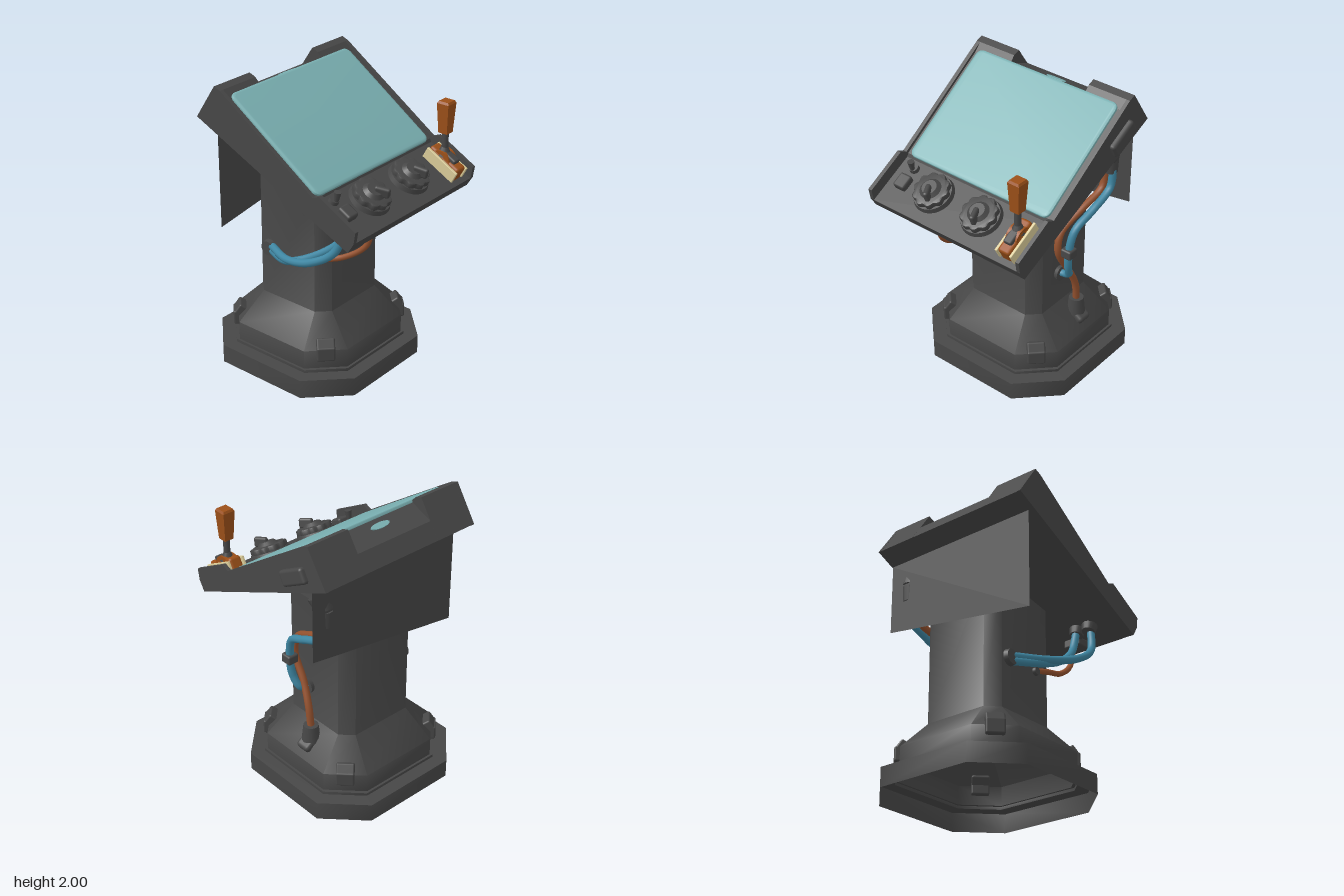
import * as THREE from 'three';
import { toCreasedNormals } from 'three/addons/utils/BufferGeometryUtils.js';
import { RoundedBoxGeometry } from 'three/addons/geometries/RoundedBoxGeometry.js';

const mat = (name, color, side = THREE.FrontSide) => {
  const m = new THREE.MeshStandardMaterial({ color, side });
  m.name = name;
  return m;
};

export function createModel() {
  const root = new THREE.Group();
  const dark = mat('dark grey casing', 0x474747, THREE.DoubleSide);
  const teal = mat('teal glass', 0x7ab0b2);
  const blue = mat('blue cable', 0x3f87a3);
  const orange = mat('orange plastic', 0x9c5019);
  const rust = mat('rust cable', 0x95522f);
  const cream = mat('cream rail', 0xd9cb98);

  const add = (name, geo, m, pos = [0, 0, 0], rot = [0, 0, 0], parent = root) => {
    const mesh = new THREE.Mesh(geo, m);
    mesh.name = name;
    mesh.position.set(...pos);
    mesh.rotation.set(...rot);
    parent.add(mesh);
    return mesh;
  };
  const rbox = (w, h, d, r = 0.012) => new RoundedBoxGeometry(w, h, d, 2, r);
  const cyl = (a, b, h, n = 20) => new THREE.CylinderGeometry(a, b, h, n);
  // side profile in x/y, extruded between two z values
  const slab = (name, pts, z0, z1) => {
    const shape = new THREE.Shape(pts.map(p => new THREE.Vector2(...p)));
    const geo = new THREE.ExtrudeGeometry(shape, { depth: z1 - z0, bevelEnabled: false });
    return add(name, geo, dark, [0, 0, z0]);
  };
  const cable = (name, pts, r, m) => {
    const curve = new THREE.CatmullRomCurve3(pts.map(p => new THREE.Vector3(...p)));
    return add(name, new THREE.TubeGeometry(curve, 48, r, 10), m);
  };

  // Pedestal: chamfered-square rings [y, half width, chamfer], open below
  const CX = -0.115, CZ = -0.01;
  const rings = [[0, 0.59, 0.25], [0.13, 0.59, 0.25], [0.13, 0.5, 0.2], [0.15, 0.5, 0.2],
    [0.15, 0.485, 0.2], [0.28, 0.485, 0.2], [0.47, 0.303, 0.08], [1.38, 0.303, 0.08]];
  const pos = [], idx = [];
  rings.forEach(([y, h, c], k) => {
    const f = h - c;
    [[h, -f], [h, f], [f, h], [-f, h], [-h, f], [-h, -f], [-f, -h], [f, -h]].forEach(([x, z]) => {
      let top = y;
      if (k === rings.length - 1) { // sloping top rim
        if (z > 0) top -= 0.1 * (x + h) / (2 * h);
        else if (x === h) top -= 0.1;
      }
      pos.push(x + CX, top, z + CZ);
    });
  });
  for (let k = 0; k < rings.length - 1; k++) for (let i = 0; i < 8; i++) {
    const a = k * 8 + i, b = k * 8 + (i + 1) % 8;
    idx.push(a, a + 8, b, b, a + 8, b + 8);
  }
  const last = (rings.length - 1) * 8;
  pos.push(CX, 1.36, CZ);
  for (let i = 0; i < 8; i++) idx.push(last + 8, last + (i + 1) % 8, last + i);
  const ped = new THREE.BufferGeometry();
  ped.setAttribute('position', new THREE.Float32BufferAttribute(pos, 3));
  ped.setIndex(idx);
  add('pedestal', toCreasedNormals(ped, 0.88), dark);

  // Lugs on the four corners of the foot
  for (const sx of [-1, 1]) for (const sz of [-1, 1]) {
    const lug = new THREE.Group();
    lug.name = 'footLug';
    lug.position.set(CX + sx * 0.385, 0.28, CZ + sz * 0.385);
    lug.rotation.y = Math.atan2(sx, sz);
    add('lugLower', rbox(0.12, 0.1, 0.07), dark, [0, -0.015, 0.0], [0, 0, 0], lug);
    add('lugUpper', rbox(0.12, 0.09, 0.07), dark, [0, 0.03, -0.015], [-0.6, 0, 0], lug);
    root.add(lug);
  }

  // Rear support plate
  const plate = new THREE.Shape([[-0.58, 1.025], [0.59, 1.205], [0.59, 1.7], [-0.58, 1.7]]
    .map(p => new THREE.Vector2(...p)));
  add('rearPlate', new THREE.ShapeGeometry(plate), dark, [-0.424, 0, 0], [0, Math.PI / 2, 0]);

  // Console: recessed middle, two raised rear shoulders, thin side walls
  slab('consoleBody', [[-0.555, 1.765], [0.644, 1.22], [0.686, 1.288], [0.37, 1.455],
    [0.36, 1.478], [-0.32, 1.94], [-0.485, 1.872]], -0.58, 0.6);
  const shoulder = [[-0.556, 1.765], [-0.3, 1.66], [-0.3, 1.927], [-0.352, 1.982], [-0.4, 2]];
  slab('shoulderFront', shoulder, 0.305, 0.61);
  slab('shoulderBack', shoulder, -0.59, -0.29);
  const wall = [[-0.558, 1.765], [0.644, 1.219], [0.687, 1.288], [0.7, 1.367], [0.427, 1.516],
    [0.374, 1.494], [-0.352, 1.982], [-0.4, 2]];
  slab('sideWallFront', wall, 0.592, 0.62);
  slab('sideWallBack', wall, -0.6, -0.574);
  add('sideHatch', rbox(0.23, 0.105, 0.06, 0.02), dark, [-0.285, 1.755, -0.603], [0, 0, -0.5]);

  // Rounded glass screen lying on the slope
  const w = 0.4, h = 0.54, r = 0.03;
  const glass = new THREE.Shape();
  glass.moveTo(-w + r, -h);
  glass.lineTo(w - r, -h).quadraticCurveTo(w, -h, w, -h + r);
  glass.lineTo(w, h - r).quadraticCurveTo(w, h, w - r, h);
  glass.lineTo(-w + r, h).quadraticCurveTo(-w, h, -w, h - r);
  glass.lineTo(-w, -h + r).quadraticCurveTo(-w, -h, -w + r, -h);
  const slope = new THREE.Group();
  slope.name = 'screenMount';
  slope.position.set(0.02, 1.708, 0.012);
  slope.rotation.z = -0.597;
  root.add(slope);
  const screen = new THREE.ExtrudeGeometry(glass, { depth: 0.008, bevelSize: 0.02, bevelThickness: 0.012, bevelSegments: 3, curveSegments: 6 });
  add('screen', toCreasedNormals(screen, 0.6), teal, [0, 0, 0], [-Math.PI / 2, 0, 0], slope);
  const spot = add('glassGlint', cyl(1, 1, 0.008, 24), teal, [-0.38, 1.917, 0.02 - 0.035], [0, 0, 0.392]);
  spot.scale.set(0.022, 1, 0.075);

  // Control panel: local x runs down the slope, local y is outward
  const panel = new THREE.Group();
  panel.name = 'controlPanel';
  panel.position.set(0.52, 1.374, 0);
  panel.rotation.z = -0.494;
  root.add(panel);

  const flutes = new THREE.Shape();
  for (let i = 0; i <= 96; i++) {
    const a = i / 96 * Math.PI * 2, rad = 0.108 + 0.007 * Math.cos(a * 10);
    flutes[i ? 'lineTo' : 'moveTo'](rad * Math.cos(a), rad * Math.sin(a));
  }
  const fluteGeo = toCreasedNormals(new THREE.ExtrudeGeometry(flutes,
    { depth: 0.03, bevelSize: 0.01, bevelThickness: 0.01, bevelSegments: 2 }), 0.7);
  for (const [z, turn] of [[-0.15, 0.35], [0.24, 0.5]]) {
    const knob = new THREE.Group();
    knob.name = 'dial';
    knob.position.set(-0.02, 0, z);
    knob.rotation.y = turn;
    add('dialRing', cyl(0.128, 0.138, 0.035, 32), dark, [0, 0.015, 0], [0, 0, 0], knob);
    add('dialGrip', fluteGeo, dark, [0, 0.03, 0], [-Math.PI / 2, 0, 0], knob);
    add('dialHub', cyl(0.05, 0.075, 0.025), dark, [0, 0.08, 0], [0, 0, 0], knob);
    add('dialPointer', rbox(0.1, 0.07, 0.035, 0.015), dark, [0.045, 0.095, 0], [0, 0, 0.25], knob);
    panel.add(knob);
  }
  // Toggle and push button
  add('toggleBase', cyl(0.03, 0.035, 0.03, 12), dark, [-0.115, 0.01, 0.48], [0, 0, 0], panel);
  add('toggleStick', cyl(0.024, 0.014, 0.07, 10), dark, [-0.11, 0.05, 0.48], [0, 0, 0.3], panel);
  add('pushButton', rbox(0.1, 0.06, 0.09, 0.015), dark, [0.0, 0.015, 0.48], [0, 0, 0], panel);

  // Lever quadrant
  add('leverTrack', rbox(0.25, 0.12, 0.09, 0.02), orange, [0.02, 0.035, -0.47], [0, 0, 0], panel);
  add('leverHump', cyl(0.075, 0.075, 0.085, 24), orange, [0.0, 0.045, -0.47], [Math.PI / 2, 0, 0], panel);
  for (const z of [-0.525, -0.415])
    add('leverRail', rbox(0.26, 0.09, 0.018, 0.004), cream, [0.02, 0.035, z], [0, 0, 0], panel);
  add('leverShoe', rbox(0.12, 0.05, 0.06), dark, [0.03, 0.095, -0.47], [0, 0, 0], panel);
  add('leverFoot', cyl(0.022, 0.05, 0.06, 12), dark, [0.548, 1.48, -0.47]);
  add('leverStem', cyl(0.022, 0.022, 0.2, 12), dark, [0.55, 1.53, -0.47]);
  const grip = cyl(0.062, 0.046, 0.2, 4).rotateY(Math.PI / 4);
  add('leverHandle', toCreasedNormals(grip, 0.3), orange, [0.55, 1.705, -0.47], [0, 0, 0]);
  add('leverHandleCap', toCreasedNormals(cyl(0.05, 0.062, 0.015, 4).rotateY(Math.PI / 4), 0.3), orange, [0.55, 1.812, -0.47]);

  // Front cables, with plugs under the console and ports on the column
  cable('frontCableOuter', [[0.45, 1.24, 0.41], [0.4, 1.07, 0.44], [0.22, 0.94, 0.455], [-0.02, 0.86, 0.41], [-0.27, 0.835, 0.29]], 0.026, blue);
  cable('frontCableInner', [[0.42, 1.24, 0.31], [0.35, 1.08, 0.325], [0.18, 0.94, 0.37], [-0.04, 0.835, 0.39], [-0.27, 0.8, 0.29]], 0.026, blue);
  cable('frontCableThin', [[0.51, 1.19, 0.22], [0.47, 1.05, 0.22], [0.32, 0.93, 0.25], [0.12, 0.86, 0.29], [-0.01, 0.82, 0.29]], 0.019, rust);
  for (const z of [0.41, 0.31]) add('cablePlug', cyl(0.055, 0.045, 0.05, 16), dark, [0.43, 1.248, z], [0, 0, -0.3]);
  add('thinCablePlug', rbox(0.11, 0.06, 0.13), dark, [0.505, 1.205, 0.25]);
  add('frontPort', cyl(0.05, 0.06, 0.05), dark, [-0.27, 0.82, 0.3], [Math.PI / 2, 0, 0]);
  add('thinCablePort', cyl(0.025, 0.03, 0.04), dark, [-0.01, 0.815, 0.295], [Math.PI / 2, 0, 0]);

  // Back cables
  cable('backCableBlue', [[-0.385, 1.43, -0.48], [-0.36, 1.3, -0.48], [-0.2, 1.21, -0.47], [-0.05, 1.12, -0.445], [-0.01, 0.97, -0.43], [-0.02, 0.83, -0.42], [-0.06, 0.74, -0.39], [-0.06, 0.72, -0.29]], 0.026, blue);
  cable('backCableRust', [[-0.375, 1.43, -0.43], [-0.34, 1.29, -0.43], [-0.17, 1.2, -0.4], [-0.01, 1.09, -0.365], [0.02, 0.96, -0.365], [-0.07, 0.78, -0.37], [-0.14, 0.62, -0.39], [-0.16, 0.46, -0.39]], 0.024, rust);
  add('backSocket', cyl(0.08, 0.055, 0.09, 12), dark, [-0.365, 1.55, -0.46], [0, 0, -0.5]);
  add('backSocketNeck', cyl(0.05, 0.045, 0.11, 12), dark, [-0.388, 1.46, -0.46]);
  add('cableClip', rbox(0.08, 0.065, 0.08), dark, [-0.01, 0.96, -0.43]);
  add('backPort', cyl(0.045, 0.055, 0.05), dark, [-0.06, 0.72, -0.315], [Math.PI / 2, 0, 0]);
  add('footSocket', cyl(0.05, 0.065, 0.13, 14), dark, [-0.16, 0.425, -0.39]);
  add('footSocketBase', rbox(0.11, 0.09, 0.12, 0.025), dark, [-0.16, 0.35, -0.41], [-0.6, 0, 0]);

  return root;
}
